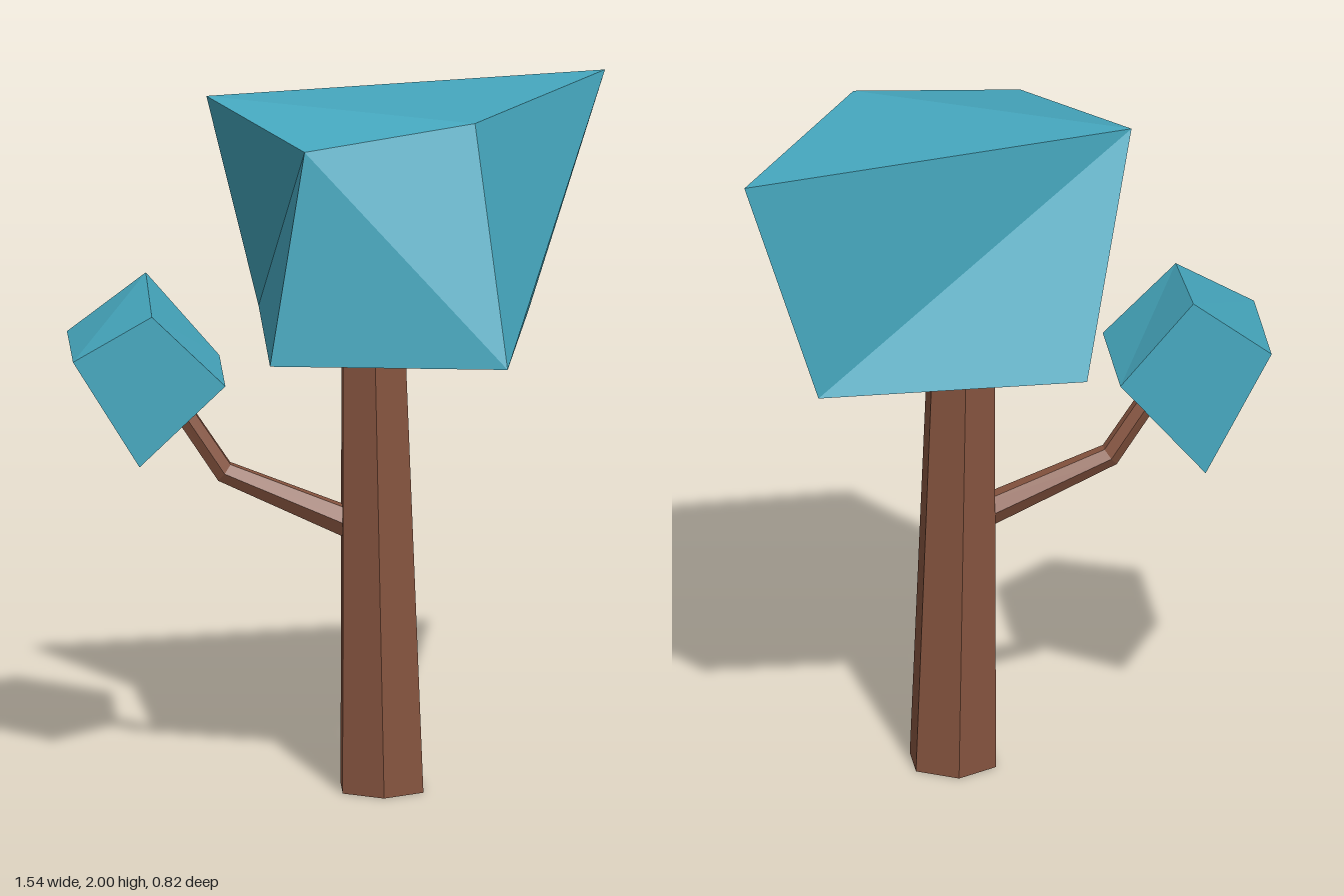
import * as THREE from 'three';

const bark = new THREE.MeshStandardMaterial({ color: 0x86543f, flatShading: true, side: THREE.DoubleSide });
const leaf = new THREE.MeshStandardMaterial({ color: 0x46a8bf, flatShading: true });

// Faceted solid from corner points and triangles, one normal per face
function facets(points, triangles) {
  const g = new THREE.BufferGeometry();
  g.setAttribute('position', new THREE.Float32BufferAttribute(points.flat(), 3));
  g.setIndex(triangles.flat());
  const flat = g.toNonIndexed();
  flat.computeVertexNormals();
  return flat;
}

function addMesh(group, name, geometry, material) {
  const mesh = new THREE.Mesh(geometry, material);
  mesh.name = name;
  group.add(mesh);
  return mesh;
}

// Large irregular crown: four top corners, four bottom corners
function crownGeometry() {
  const points = [
    [-0.38, 2, -0.14], [0.77, 2, -0.41], [0.37, 2, 0.23], [-0.12, 1.94, 0.31],
    [-0.22, 1.32, 0.34], [0.455, 1.32, 0.41], [0.55, 1.31, -0.36], [-0.22, 1.325, -0.38],
  ];
  return facets(points, [
    [0, 2, 1], [0, 3, 2], // top
    [3, 4, 5], [3, 5, 2], // front
    [2, 5, 1], [5, 6, 1], // +x side
    [1, 6, 0], [6, 7, 0], // back
    [0, 7, 3], [7, 4, 3], // -x side
    [7, 6, 5], [7, 5, 4], // bottom
  ]);
}

// Small tilted block of leaves, a little taller at the back
function tuftGeometry() {
  const section = (top, bottom, z) => [
    [-0.55, top, z], [-0.775, 1.3, z], [-0.585, bottom, z], [-0.34, 1.225, z],
  ];
  const triangles = [[0, 1, 2], [0, 2, 3], [4, 6, 5], [4, 7, 6]];
  for (let i = 0; i < 4; i++) {
    const j = (i + 1) % 4;
    triangles.push([i, i + 4, j], [i + 4, j + 4, j]);
  }
  return facets([...section(1.43, 0.99, 0.18), ...section(1.47, 0.94, -0.2)], triangles);
}

// Bent, tapering six-sided branch: rings across a path in the xy plane
function branchGeometry() {
  const path = [
    { x: 0.06, y: 0.76, r: 0.048 }, { x: -0.335, y: 0.93, r: 0.034 }, { x: -0.5, y: 1.18, r: 0.031 },
  ];
  const sides = 6, points = [], triangles = [];
  path.forEach((p, k) => {
    const a = path[Math.max(k - 1, 0)], b = path[Math.min(k + 1, path.length - 1)];
    const dir = new THREE.Vector2(b.x - a.x, b.y - a.y).normalize();
    for (let i = 0; i < sides; i++) {
      const t = (i / sides) * Math.PI * 2, u = Math.sin(t) * p.r;
      points.push([p.x + dir.y * u, p.y - dir.x * u, -0.01 + Math.cos(t) * p.r]);
      if (k > 0) {
        const j = (i + 1) % sides, c = k * sides, d = c - sides;
        triangles.push([d + i, d + j, c + j], [d + i, c + j, c + i]);
      }
    }
  });
  return facets(points, triangles);
}

// Six-sided trunk, open at the ends, leaning slightly as it rises
function trunkGeometry() {
  const height = 1.33;
  const g = new THREE.CylinderGeometry(0.102, 0.133, height, 6, 1, true);
  g.translate(0, height / 2, 0);
  const pos = g.attributes.position;
  for (let i = 0; i < pos.count; i++) {
    pos.setX(i, pos.getX(i) + 0.115 - 0.025 * (pos.getY(i) / height));
  }
  return g;
}

export function createModel() {
  const tree = new THREE.Group();
  tree.name = 'tree';
  addMesh(tree, 'trunk', trunkGeometry(), bark);
  addMesh(tree, 'branch', branchGeometry(), bark);
  addMesh(tree, 'crown', crownGeometry(), leaf);
  addMesh(tree, 'branchLeaves', tuftGeometry(), leaf);
  return tree;
}
